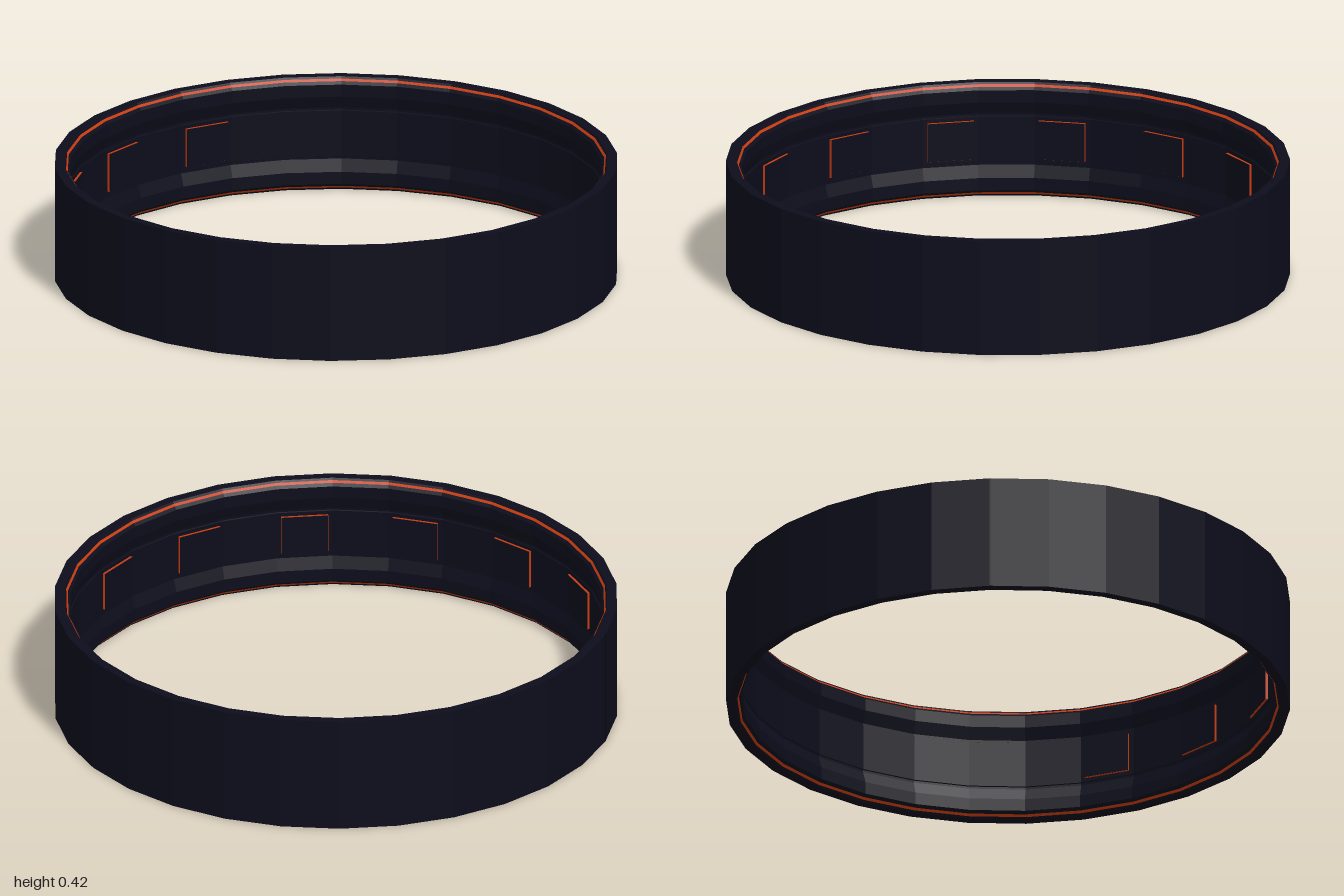
import * as THREE from 'three';

const SIDES = 30;
const HEIGHT = 0.42;
const STEP = (Math.PI * 2) / SIDES;

const dark = new THREE.MeshStandardMaterial({ color: 0x0d0d1c, flatShading: true });
const seamDark = new THREE.MeshStandardMaterial({ color: 0x05050a });
const orange = new THREE.MeshStandardMaterial({ color: 0xc83c10, flatShading: true });

// Faceted ring swept from [radius, y] points, with corners on the x axis
function ring(name, points, material) {
  const profile = points.map(([r, y]) => new THREE.Vector2(r, y));
  const mesh = new THREE.Mesh(new THREE.LatheGeometry(profile, SIDES, Math.PI / 2), material);
  mesh.name = name;
  return mesh;
}

// Box set against the wall at an angle measured from +x towards +z
function wallBox(name, [w, h, d], radius, angle, material) {
  const mesh = new THREE.Mesh(new THREE.BoxGeometry(w, h, d), material);
  mesh.name = name;
  mesh.position.set(radius * Math.cos(angle), HEIGHT / 2, radius * Math.sin(angle));
  mesh.rotation.y = Math.PI / 2 - angle;
  return mesh;
}

export function createModel() {
  const model = new THREE.Group();
  model.name = 'ringBand';
  const flip = (points) => points.map(([r, y]) => [r, HEIGHT - y]).reverse();

  // Outer wall and flat rims
  model.add(ring('outerWall', [[0.965, 0], [1, 0], [1, HEIGHT], [0.965, HEIGHT]], dark));

  // Chamfered rim edges, each with a thin orange line
  const chamfers = [
    ['rimChamfer', [[0.965, 0.42], [0.96, 0.413]], dark],
    ['rimLine', [[0.96, 0.413], [0.954, 0.405]], orange],
    ['rimInnerEdge', [[0.954, 0.405], [0.945, 0.395]], dark],
  ];
  for (const [name, points, material] of chamfers) {
    model.add(ring(name + 'Top', points, material));
    model.add(ring(name + 'Bottom', flip(points), material));
  }

  // Inner wall: rim, slope into the recess, raised middle band, mirrored below
  const upper = [[0.945, 0.395], [0.945, 0.35], [0.96, 0.305], [0.96, 0.297], [0.956, 0.295]];
  model.add(ring('innerWall', [...upper, ...flip(upper)], dark));

  // Raised panels with orange sides, one on every second facet
  const apothem = 0.956 * Math.cos(STEP / 2);
  for (let i = 0; i < 10; i++) {
    const angle = THREE.MathUtils.degToRad(78 + 24 * i);
    const panel = new THREE.Group();
    panel.name = 'panel' + (i + 1);
    panel.add(wallBox('panelEdge', [0.168, 0.142, 0.01], apothem - 0.003, angle, orange));
    panel.add(wallBox('panelFace', [0.166, 0.14, 0.003], apothem - 0.009, angle, dark));
    model.add(panel);
  }

  // Closing seam on the outside
  model.add(wallBox('seam', [0.006, HEIGHT, 0.006], 0.997, STEP * 20, seamDark));
  return model;
}
